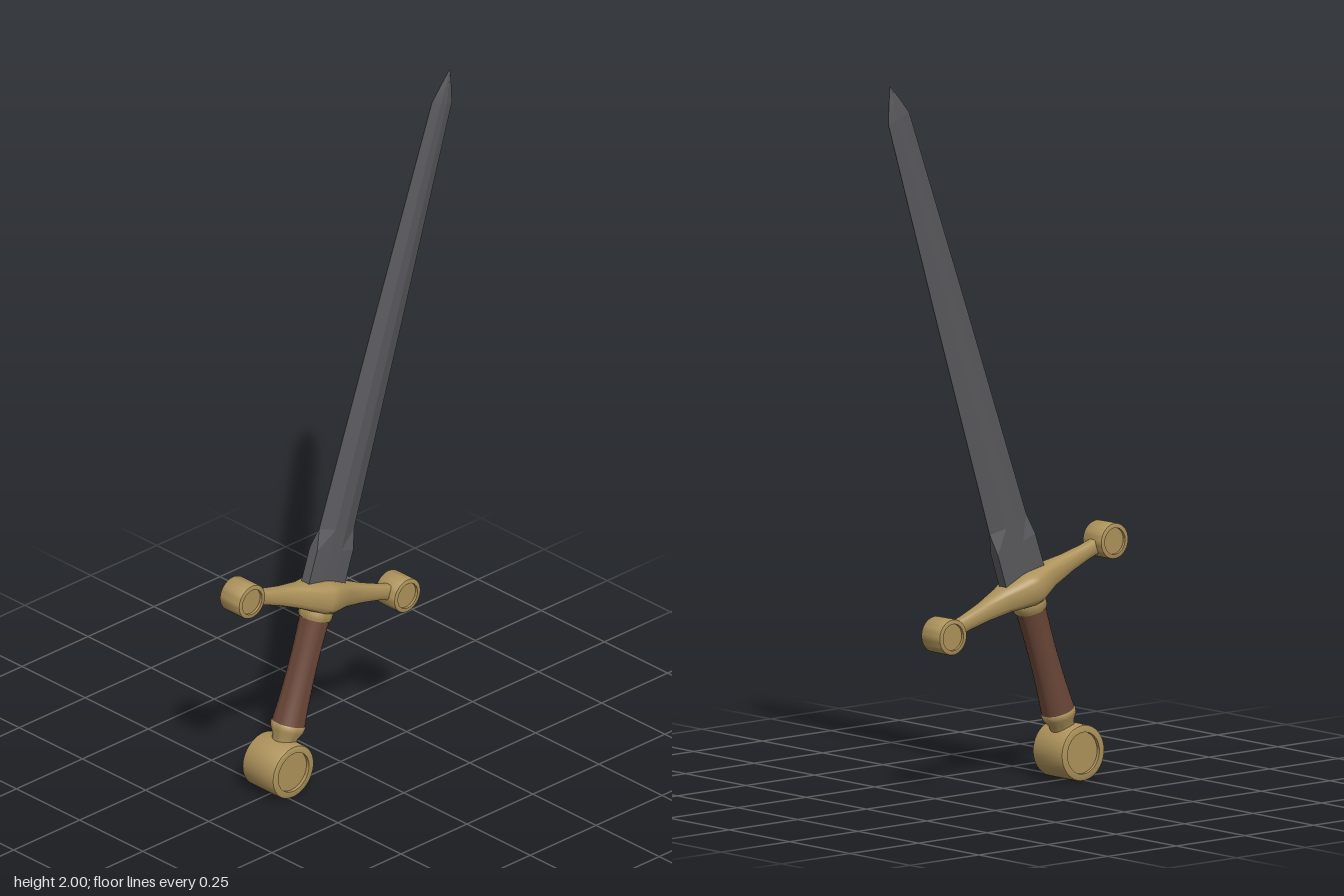
import * as THREE from 'three';
import { toCreasedNormals } from 'three/addons/utils/BufferGeometryUtils.js';

const steel = new THREE.MeshStandardMaterial({ name: 'steel', color: 0x5a595d });
const brass = new THREE.MeshStandardMaterial({ name: 'brass', color: 0xae935b });
const leather = new THREE.MeshStandardMaterial({ name: 'leather', color: 0x6b4738 });

function part(name, geometry, material, x = 0, y = 0) {
  const mesh = new THREE.Mesh(geometry, material);
  mesh.name = name;
  mesh.position.set(x, y, 0);
  return mesh;
}

// Skin a stack of equal-length rings (counter-clockwise seen from the last ring) and cap both ends.
function loft(rings, crease) {
  const n = rings[0].length;
  const index = [];
  for (let r = 0; r < rings.length - 1; r++) {
    for (let i = 0; i < n; i++) {
      const j = (i + 1) % n;
      const a = r * n + i, b = r * n + j, c = a + n, d = b + n;
      index.push(a, b, d, a, d, c);
    }
  }
  const last = (rings.length - 1) * n;
  for (let i = 1; i < n - 1; i++) {
    index.push(0, i + 1, i, last, last + i, last + i + 1);
  }
  const geometry = new THREE.BufferGeometry();
  geometry.setAttribute('position', new THREE.Float32BufferAttribute(rings.flat(2), 3));
  geometry.setIndex(index);
  return toCreasedNormals(geometry, crease);
}

function lathe(points, segments = 32) {
  const profile = points.map(([r, y]) => new THREE.Vector2(r, y));
  return toCreasedNormals(new THREE.LatheGeometry(profile, segments), 0.6);
}

// Short drum facing front and back, with a softened rim and a sunken face on each side.
function drum(radius, half, inner, depth) {
  const b = radius * 0.08;
  const lower = [[0, depth - half], [inner, depth - half], [inner, -half],
    [radius - b, -half], [radius - b * 0.3, b * 0.3 - half], [radius, b - half]];
  const upper = lower.map(([r, y]) => [r, -y]).reverse();
  return lathe([...lower, ...upper], 40).rotateX(Math.PI / 2);
}

function bladeGeometry() {
  // height, half width, half thickness at the middle, half thickness at the edge
  const sections = [
    [0.515, 0.073, 0.018, 0.015],
    [0.63, 0.072, 0.018, 0.015],
    [0.69, 0.070, 0.017, 0.001],
    [1.3, 0.057, 0.0135, 0.001],
    [1.93, 0.040, 0.009, 0.001],
    [1.98, 0.021, 0.006, 0.001],
    [2.026, 0.001, 0.001, 0.0005],
  ];
  return loft(sections.map(([y, w, t, e]) => {
    const f = w * 0.3;
    return [[w, y, -e], [f, y, -t], [-f, y, -t], [-w, y, -e],
      [-w, y, e], [-f, y, t], [f, y, t], [w, y, e]];
  }), 0.05);
}

function guardGeometry() {
  // distance from the middle, half height, half depth
  const half = [
    [0.012, 0.046, 0.065], [0.085, 0.035, 0.036], [0.16, 0.026, 0.024],
    [0.23, 0.022, 0.018], [0.29, 0.022, 0.016],
  ];
  const sections = [...half.map(([x, h, d]) => [-x, h, d]).reverse(), ...half];
  const squash = (v) => Math.sign(v) * Math.pow(Math.abs(v), 0.6);
  return loft(sections.map(([x, h, d]) => Array.from({ length: 20 }, (_, i) => {
    const a = (i / 20) * Math.PI * 2;
    return [x, h * squash(Math.cos(a)), d * squash(Math.sin(a))];
  })), 0.6);
}

function gripGeometry() {
  // waisted handle with shallow wrapping ridges
  const points = [];
  for (let i = 0; i <= 40; i++) {
    const t = i / 40;
    const radius = 0.0475 - 0.026 * t + 0.021 * t * t;
    points.push([radius + (i % 2 ? 0.0006 : 0), 0.11 + 0.33 * t]);
  }
  return lathe(points);
}

export function createModel() {
  const model = new THREE.Group();
  model.name = 'sword';

  // The sword is built upright around its pommel, then leaned sideways
  const sword = new THREE.Group();
  sword.name = 'leaningSword';
  sword.position.set(-0.237, 0.0785, 0);
  sword.rotation.z = -0.327;
  model.add(sword);

  sword.add(part('blade', bladeGeometry(), steel));
  sword.add(part('guard', guardGeometry(), brass, 0, 0.497));
  for (const [name, side] of [['leftGuardEnd', 1], ['rightGuardEnd', -1]]) {
    sword.add(part(name, drum(0.05, 0.039, 0.037, 0.008), brass, side * 0.311, 0.497));
  }

  sword.add(part('grip', gripGeometry(), leather));
  sword.add(part('upperCollar', lathe([[0, 0.43], [0.045, 0.43], [0.048, 0.436],
    [0.048, 0.455], [0.044, 0.47], [0, 0.47]]), brass));
  sword.add(part('lowerCollar', lathe([[0, 0.06], [0.033, 0.06], [0.036, 0.085],
    [0.047, 0.105], [0.049, 0.118], [0.046, 0.125], [0, 0.125]]), brass));
  sword.add(part('pommel', drum(0.0785, 0.062, 0.058, 0.01), brass));

  return model;
}
